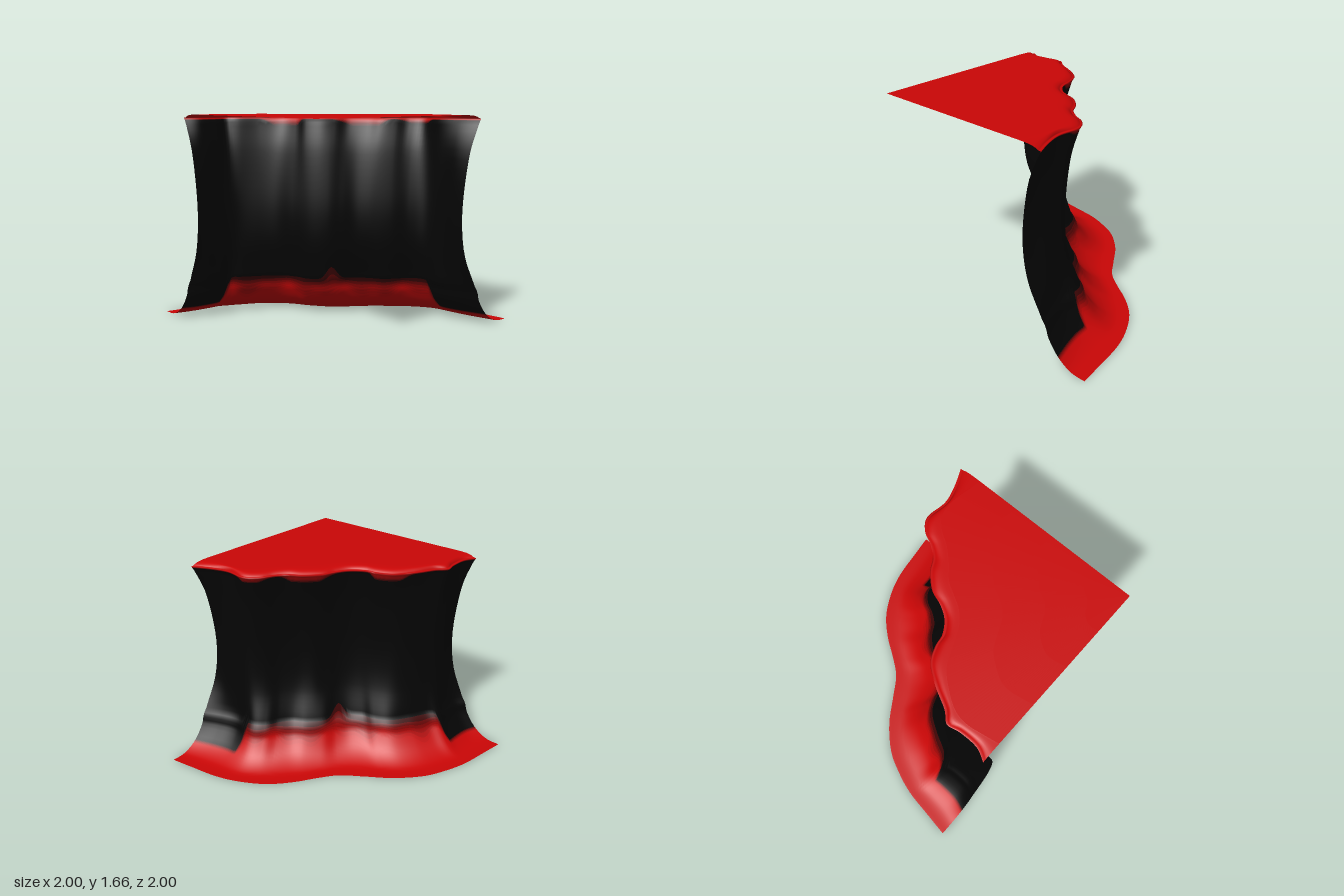
import * as THREE from 'three';

const curve = (pts) => new THREE.SplineCurve(pts.map(([a, b]) => new THREE.Vector2(a, b)));

// Plan outlines (x, z), running from the front left end to the back right end
const rim = curve([
  [-0.6, 1], [-0.55, 0.9], [-0.55, 0.75], [-0.57, 0.65], [-0.5, 0.57], [-0.42, 0.42], [-0.32, 0.28],
  [-0.2, 0.22], [-0.1, 0.2], [0, 0.13], [0.06, 0.03], [0.1, -0.08], [0.2, -0.19], [0.3, -0.25],
  [0.37, -0.34], [0.42, -0.44], [0.52, -0.51], [0.7, -0.49], [0.85, -0.53], [1, -0.6],
]);
const waist = curve([
  [-0.455, 1], [-0.48, 0.88], [-0.5, 0.75], [-0.48, 0.63], [-0.4, 0.5], [-0.29, 0.38], [-0.15, 0.31],
  [0, 0.24], [0.1, 0.15], [0.16, 0.05], [0.22, -0.05], [0.32, -0.14], [0.42, -0.25], [0.5, -0.37],
  [0.6, -0.45], [0.75, -0.465], [0.9, -0.44], [1, -0.43],
]);
const foot = curve([
  [-1, 1], [-0.97, 0.8], [-0.93, 0.55], [-0.86, 0.35], [-0.77, 0.18], [-0.6, 0], [-0.4, -0.14],
  [-0.23, -0.26], [-0.12, -0.4], [0, -0.58], [0.15, -0.74], [0.35, -0.86], [0.55, -0.93],
  [0.8, -0.97], [1, -1],
]);
// Cliff profile: reach (-1 at the waist outline, 0 at the rim, 1 at the foot), height
const profile = curve([
  [-1, 1.665], [-0.4, 1.66], [-0.03, 1.64], [0, 1.61], [-0.6, 1.38], [-0.97, 1.05], [-1, 0.8],
  [-0.72, 0.57], [0, 0.33], [0.15, 0.2], [0.38, 0.08], [0.68, 0.01], [1, 0],
]);
const LAST = 12;

// Point on the cliff: t along the edge, u down the profile (0 to LAST)
function cliffPoint(t, u) {
  const p = profile.getPoint(u / LAST);
  const plan = rim.getPointAt(t).lerp((p.x < 0 ? waist : foot).getPointAt(t), Math.abs(p.x));
  return new THREE.Vector3(plan.x, Math.max(0, p.y), plan.y);
}

// Smooth normal from the slopes along and down the cliff
function cliffNormal(t, u) {
  const e = 0.006, k = 0.1;
  const along = cliffPoint(Math.min(1, t + e), u).sub(cliffPoint(Math.max(0, t - e), u));
  const down = cliffPoint(t, Math.min(LAST, u + k)).sub(cliffPoint(t, Math.max(0, u - k)));
  return along.cross(down).normalize();
}

// Grid surface from a point rule and a normal rule
function sheet(name, color, rows, pointAt, normalAt) {
  const cols = 110, pos = [], nor = [], index = [];
  for (let j = 0; j <= rows; j++) {
    for (let i = 0; i <= cols; i++) {
      pos.push(...pointAt(i / cols, j / rows).toArray());
      nor.push(...normalAt(i / cols, j / rows).toArray());
      if (i < cols && j < rows) {
        const a = j * (cols + 1) + i, b = a + cols + 1;
        index.push(a, a + 1, b, a + 1, b + 1, b);
      }
    }
  }
  const geo = new THREE.BufferGeometry();
  geo.setAttribute('position', new THREE.Float32BufferAttribute(pos, 3));
  geo.setAttribute('normal', new THREE.Float32BufferAttribute(nor, 3));
  geo.setIndex(index);
  const mesh = new THREE.Mesh(geo, new THREE.MeshStandardMaterial({ color, side: THREE.DoubleSide }));
  mesh.name = name;
  return mesh;
}

const mix = THREE.MathUtils.lerp;

// Strip of cliff between two colour borders
function band(name, color, rows, from, to) {
  const at = (t, v) => mix(from(t), to(t), v);
  return sheet(name, color, rows, (t, v) => cliffPoint(t, at(t, v)), (t, v) => cliffNormal(t, at(t, v)));
}

// Strip that passes from one colour to another in even steps
function fade(name, colorA, colorB, from, to) {
  const group = new THREE.Group(), steps = 6;
  group.name = name;
  for (let s = 0; s < steps; s++) {
    const color = new THREE.Color(colorA).lerp(new THREE.Color(colorB), (s + 0.5) / steps);
    group.add(band(`${name}Step`, color, 1,
      (t) => mix(from(t), to(t), s / steps), (t) => mix(from(t), to(t), (s + 1) / steps)));
  }
  return group;
}

const step = THREE.MathUtils.smoothstep;
const window01 = (x, a, b, soft) => step(x, a - soft, a + soft) * (1 - step(x, b - soft, b + soft));

// Colour borders: stains hang below the rim, and the red ground climbs the middle of the cliff
const stain = (t) => {
  const x = rim.getPointAt(t).x;
  return window01(x, -0.39, -0.16, 0.04) + window01(x, 0.08, 0.32, 0.04) + 0.7 * window01(x, 0.4, 0.58, 0.04);
};
const climb = (t) => {
  const p = rim.getPointAt(t);
  return (1 - step(p.y, 0.62, 0.7)) * (1 - step(p.x, 0.56, 0.64));
};
const ripple = (t) => 0.6 * Math.sin(t * 31 + 1) + 0.4 * Math.sin(t * 67);
const ridge = (t) => Math.exp(-(((t - 0.5) / 0.025) ** 2));
const lipEnd = (t) => 2.8 + 0.1 * stain(t);
const lipFadeEnd = (t) => 2.9 + 0.35 * stain(t);
const cliffEnd = (t) => 9.95 - climb(t) * (1.9 + 0.5 * ridge(t));
const groundStart = (t) => 10.2 - climb(t) * (0.95 - 0.45 * ripple(t));

export function createModel() {
  const model = new THREE.Group();
  const red = 0xcb0606, black = 0x050505;

  // Flat top, drawn in from the lip to the front left corner of the tile
  const corner = new THREE.Vector3(1, 1.665, 1), up = new THREE.Vector3(0, 1, 0);
  model.add(sheet('plateau', red, 4, (t, v) => corner.clone().lerp(cliffPoint(t, 0), v), () => up));

  // Lip, rock wall and spreading foot
  model.add(band('plateauLip', red, 10, () => 0, lipEnd));
  model.add(fade('lipFade', red, black, lipEnd, lipFadeEnd));
  model.add(band('cliffWall', black, 28, lipFadeEnd, cliffEnd));
  model.add(fade('groundFade', black, red, cliffEnd, groundStart));
  model.add(band('ground', red, 12, groundStart, () => LAST));
  return model;
}
